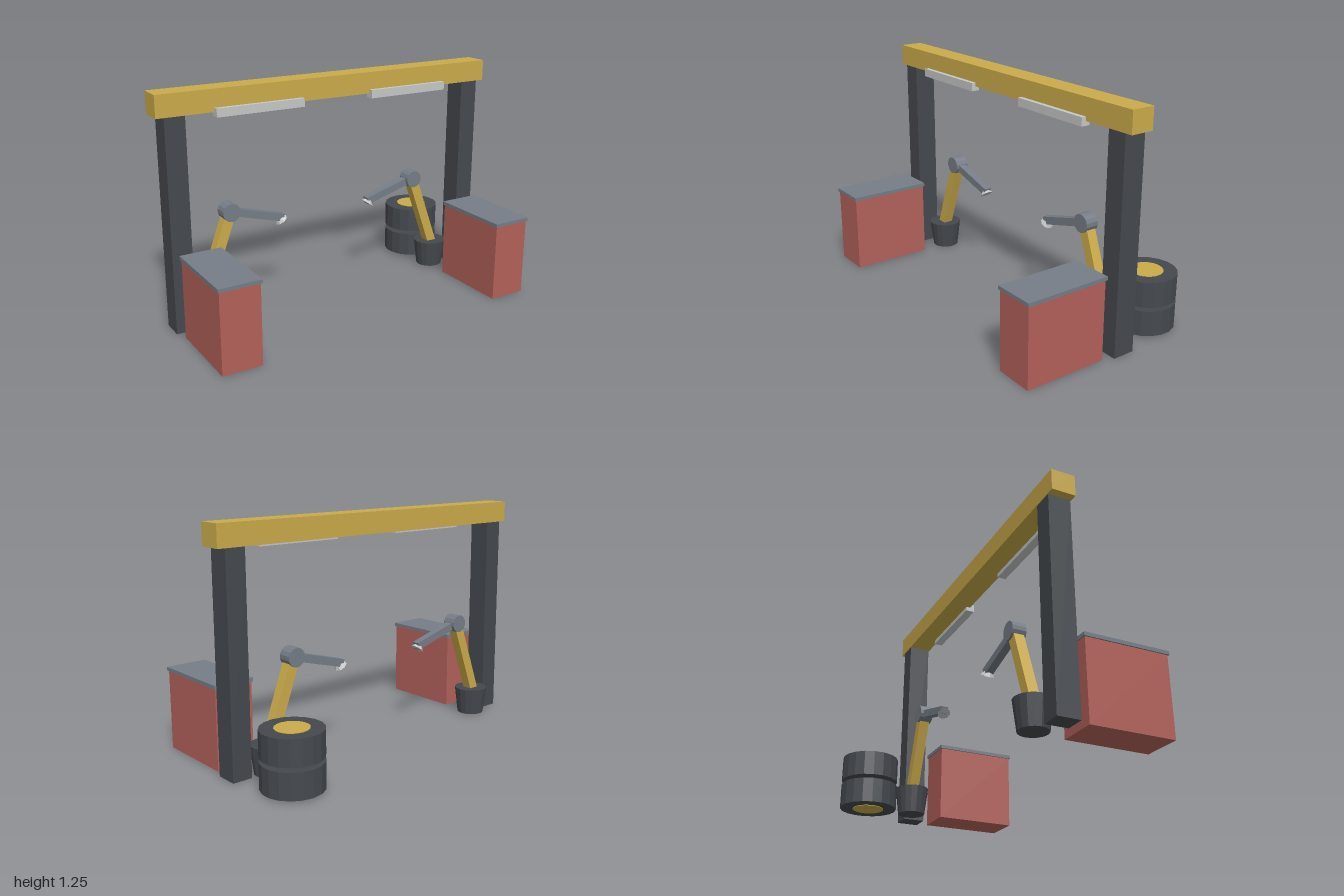
import * as THREE from 'three';

const mat = (name, color) => Object.assign(new THREE.MeshStandardMaterial({ color }), { name });

export function createModel() {
  const yellow = mat('yellow paint', 0xcbab4a);
  const dark = mat('dark steel and rubber', 0x45494e);
  const red = mat('red cabinet paint', 0xb3615a);
  const grey = mat('grey metal', 0x767d87);
  const pale = mat('pale lamp', 0xc6c7c7);

  const model = new THREE.Group();
  model.name = 'workshopGantry';

  const group = (name) => {
    const g = new THREE.Group();
    g.name = name;
    model.add(g);
    return g;
  };
  const add = (parent, name, geo, material, x, y, z) => {
    const m = new THREE.Mesh(geo, material);
    m.name = name;
    m.position.set(x, y, z);
    parent.add(m);
    return m;
  };
  const box = (w, h, d) => new THREE.BoxGeometry(w, h, d);
  // Faceted cylinder with one flat normal per face
  const drum = (rTop, rBottom, h, sides) => {
    const g = new THREE.CylinderGeometry(rTop, rBottom, h, sides).toNonIndexed();
    g.computeVertexNormals();
    return g;
  };
  // Square bar between two points in the x-y plane
  const bar = (parent, name, a, b, w, material, z) => {
    const dx = b[0] - a[0], dy = b[1] - a[1];
    const m = add(parent, name, box(w, Math.hypot(dx, dy), w), material,
      (a[0] + b[0]) / 2, (a[1] + b[1]) / 2, z);
    m.rotation.z = Math.atan2(-dx, dy);
    return m;
  };

  // Overhead beam
  add(model, 'beam', box(2, 0.116, 0.13), yellow, 0, 1.197, -0.054);

  for (const s of [-1, 1]) {
    const side = s > 0 ? 'left' : 'right';

    // Post and strip lamp
    add(model, side + 'Post', box(0.108, 1.14, 0.122), dark, s * 0.903, 0.57, -0.055);
    add(model, side + 'Lamp', box(0.49, 0.045, 0.048), pale, s * 0.452, 1.138, 0.012);

    // Tool cabinet with overhanging worktop
    const cabinet = group(side + 'Cabinet');
    add(cabinet, 'cabinetBody', box(0.212, 0.43, 0.457), red, s * 0.825, 0.215, 0.291);
    add(cabinet, 'worktop', box(0.226, 0.02, 0.47), grey, s * 0.825, 0.438, 0.291);

    // Robot arm: tapered base, two links, elbow joint and cone tool
    const robot = group(side + 'RobotArm');
    const z = -0.112;
    const shoulder = [s * 0.745, 0.14], elbow = [s * 0.588, 0.57], wrist = [s * 0.274, 0.482];
    add(robot, 'base', drum(0.095, 0.076, 0.153, 16), dark, s * 0.745, 0.0765, z);
    bar(robot, 'lowerArm', shoulder, elbow, 0.056, yellow, z);
    add(robot, 'elbow', drum(0.05, 0.05, 0.076, 14), grey, ...elbow, z).rotation.x = Math.PI / 2;
    bar(robot, 'upperArm', elbow, wrist, 0.042, grey, z);
    const tool = add(robot, 'tool', drum(0, 0.037, 0.05, 8), pale, s * 0.296, 0.486, z);
    tool.rotation.z = -s * 0.63;
  }

  // Stack of two tyres with hubs
  const stack = group('tyreStack');
  for (const y of [0.081, 0.241]) {
    add(stack, 'tyre', drum(0.16, 0.16, 0.138, 18), dark, 0.783, y, -0.364);
    add(stack, 'hub', drum(0.088, 0.088, 0.144, 18), yellow, 0.783, y, -0.364);
  }

  return model;
}
